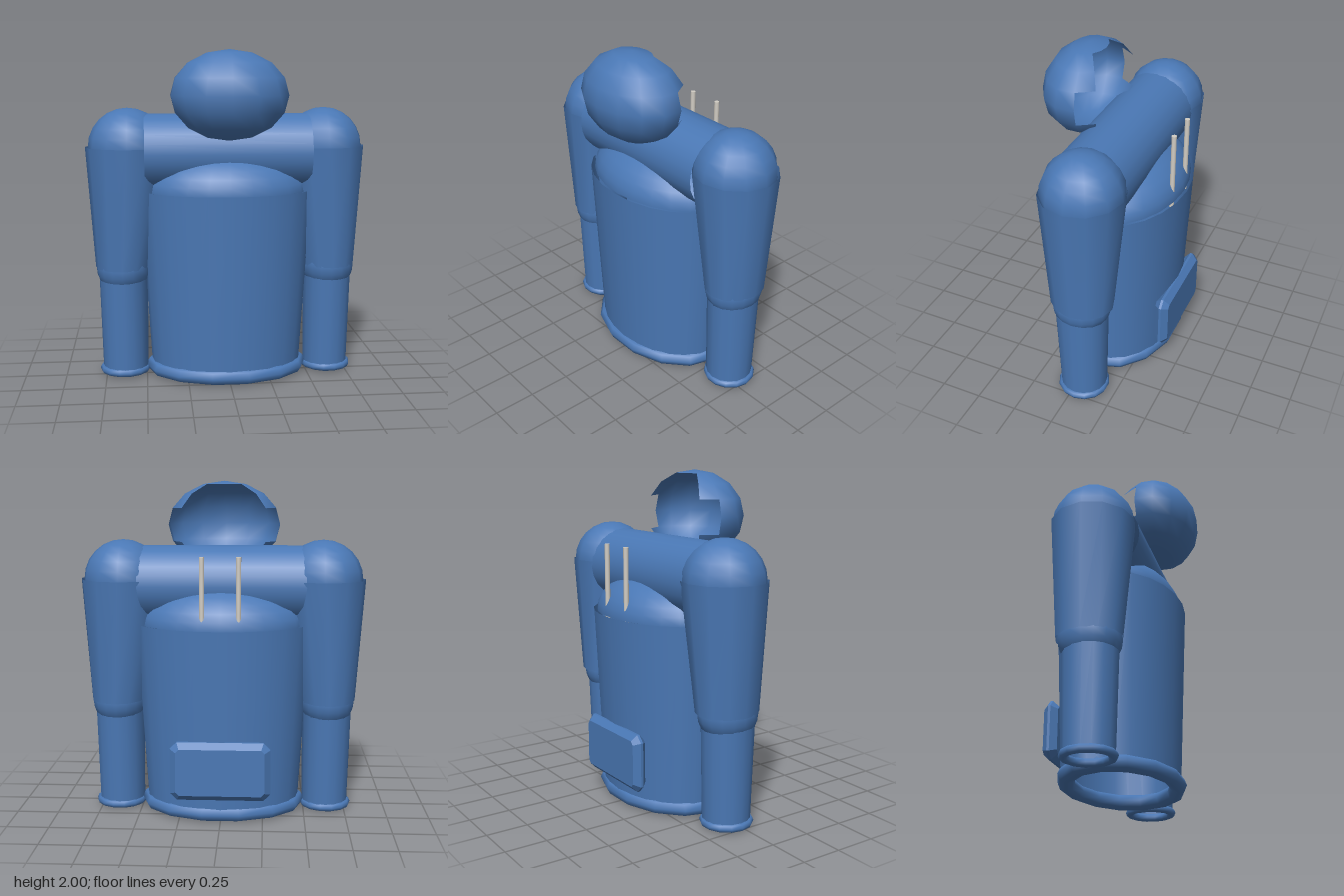
import * as THREE from 'three';

const blue = new THREE.MeshStandardMaterial({ color: 0x4a78b5, side: THREE.DoubleSide });
blue.name = 'blue';
const paleGrey = new THREE.MeshStandardMaterial({ color: 0xd2cdc4 });
paleGrey.name = 'pale grey';

const CZ = -0.05; // depth of the body axis

function add(parent, name, geometry, x, y, z, material = blue) {
  const mesh = new THREE.Mesh(geometry, material);
  mesh.name = name;
  mesh.position.set(x, y, z);
  parent.add(mesh);
  return mesh;
}

// Open elliptical tube; each end is { y, x, rx, rz }
function taperedTube(top, bottom, sides) {
  const g = new THREE.CylinderGeometry(1, 1, 1, sides, 1, true);
  const p = g.attributes.position;
  for (let i = 0; i < p.count; i++) {
    const e = p.getY(i) > 0 ? top : bottom;
    p.setXYZ(i, e.x + p.getX(i) * e.rx, e.y, p.getZ(i) * e.rz);
  }
  g.computeVertexNormals();
  // keep the seam smooth by using radial normals
  const n = g.attributes.normal, v = new THREE.Vector3();
  for (let i = 0; i < p.count; i++) {
    const e = i <= sides ? top : bottom;
    v.set((p.getX(i) - e.x) / e.rx ** 2, 0, p.getZ(i) / e.rz ** 2).normalize();
    v.y = (bottom.rz - top.rz) / (top.y - bottom.y);
    v.normalize();
    n.setXYZ(i, v.x, v.y, v.z);
  }
  return g;
}

function ring(radius, tube, sides) {
  return new THREE.TorusGeometry(radius, tube, 8, sides).rotateX(Math.PI / 2);
}

// Hollow head shell with a stepped opening at the back
function headShell() {
  const cols = 14, rows = 8;
  const g = new THREE.SphereGeometry(1, cols, rows);
  g.rotateY(-Math.PI / 2); // puts a column line on the back centre
  const halfOpening = [0, 2, 2, 3, 3, 2, 2, 0]; // columns removed each side, per row
  const p = g.attributes.position, src = g.index.array, kept = [];
  const step = (Math.PI * 2) / cols;
  for (let i = 0; i < src.length; i += 3) {
    let x = 0, y = 0, z = 0;
    for (let k = 0; k < 3; k++) {
      x += p.getX(src[i + k]) / 3;
      y += p.getY(src[i + k]) / 3;
      z += p.getZ(src[i + k]) / 3;
    }
    const polar = Math.acos(y / Math.hypot(x, y, z));
    const row = Math.min(rows - 1, Math.floor((polar / Math.PI) * rows));
    const fromBack = Math.abs(Math.atan2(x, -z)) / step;
    if (fromBack > halfOpening[row]) kept.push(src[i], src[i + 1], src[i + 2]);
  }
  g.setIndex(kept);
  return g.scale(0.352, 0.265, 0.26);
}

// Bevelled plate with clipped corners
function backPlate() {
  const w = 0.26, h = 0.14, c = 0.02, s = new THREE.Shape();
  s.moveTo(-w + c, -h);
  s.lineTo(w - c, -h);
  s.lineTo(w, -h + c);
  s.lineTo(w, h - c);
  s.lineTo(w - c, h);
  s.lineTo(-w + c, h);
  s.lineTo(-w, h - c);
  s.lineTo(-w, -h + c);
  s.closePath();
  return new THREE.ExtrudeGeometry(s, {
    depth: 0.015, bevelEnabled: true, bevelThickness: 0.035, bevelSize: 0.035, bevelSegments: 1,
  }).translate(0, 0, -0.0075);
}

function addArm(parent, side) {
  const arm = new THREE.Group();
  arm.name = side > 0 ? 'leftArm' : 'rightArm';
  parent.add(arm);

  add(arm, 'shoulder', new THREE.SphereGeometry(0.24, 12, 12), side * 0.6, 1.415, CZ);
  add(arm, 'upperArm', taperedTube(
    { y: 1.42, x: side * 0.605, rx: 0.252, rz: 0.246 },
    { y: 0.68, x: side * 0.641, rx: 0.166, rz: 0.19 }, 12), 0, 0, CZ);

  const elbow = add(arm, 'elbow', new THREE.SphereGeometry(0.18, 16, 12), side * 0.638, 0.68, -0.045);
  elbow.scale.x = 0.92;

  add(arm, 'forearm', taperedTube(
    { y: 0.68, x: side * 0.638, rx: 0.15, rz: 0.16 },
    { y: 0.03, x: side * 0.632, rx: 0.14, rz: 0.14 }, 16), 0, 0, -0.043);
  add(arm, 'cuff', ring(0.132, 0.025, 14), side * 0.636, 0.03, -0.043);
}

export function createModel() {
  const model = new THREE.Group();
  model.name = 'figure';

  // Hollow torso with a domed top and a rim around the open bottom
  add(model, 'torso', taperedTube(
    { y: 1.155, x: 0, rx: 0.532, rz: 0.382 },
    { y: 0.05, x: 0, rx: 0.465, rz: 0.333 }, 24), 0, 0, CZ);
  const dome = new THREE.SphereGeometry(1, 24, 8, 0, Math.PI * 2, 0, Math.PI / 2);
  add(model, 'torsoDome', dome.scale(0.507, 0.257, 0.362), 0, 1.15, CZ);
  add(model, 'bottomRim', ring(0.313, 0.048, 14).scale(1.4, 1, 1), 0, 0.048, -0.045);

  // Tube across the shoulders
  add(model, 'shoulderTube',
    new THREE.CylinderGeometry(0.23, 0.23, 1, 24, 1, true).rotateZ(Math.PI / 2), 0, 1.39, -0.035);

  add(model, 'head', headShell(), 0, 1.735, 0.18);
  add(model, 'backPlate', backPlate(), 0, 0.325, -0.398);

  for (const side of [1, -1]) {
    addArm(model, side);
    add(model, side > 0 ? 'leftRod' : 'rightRod',
      new THREE.CylinderGeometry(0.015, 0.015, 0.475, 10), side * 0.105, 1.3375, -0.378, paleGrey);
  }
  return model;
}
